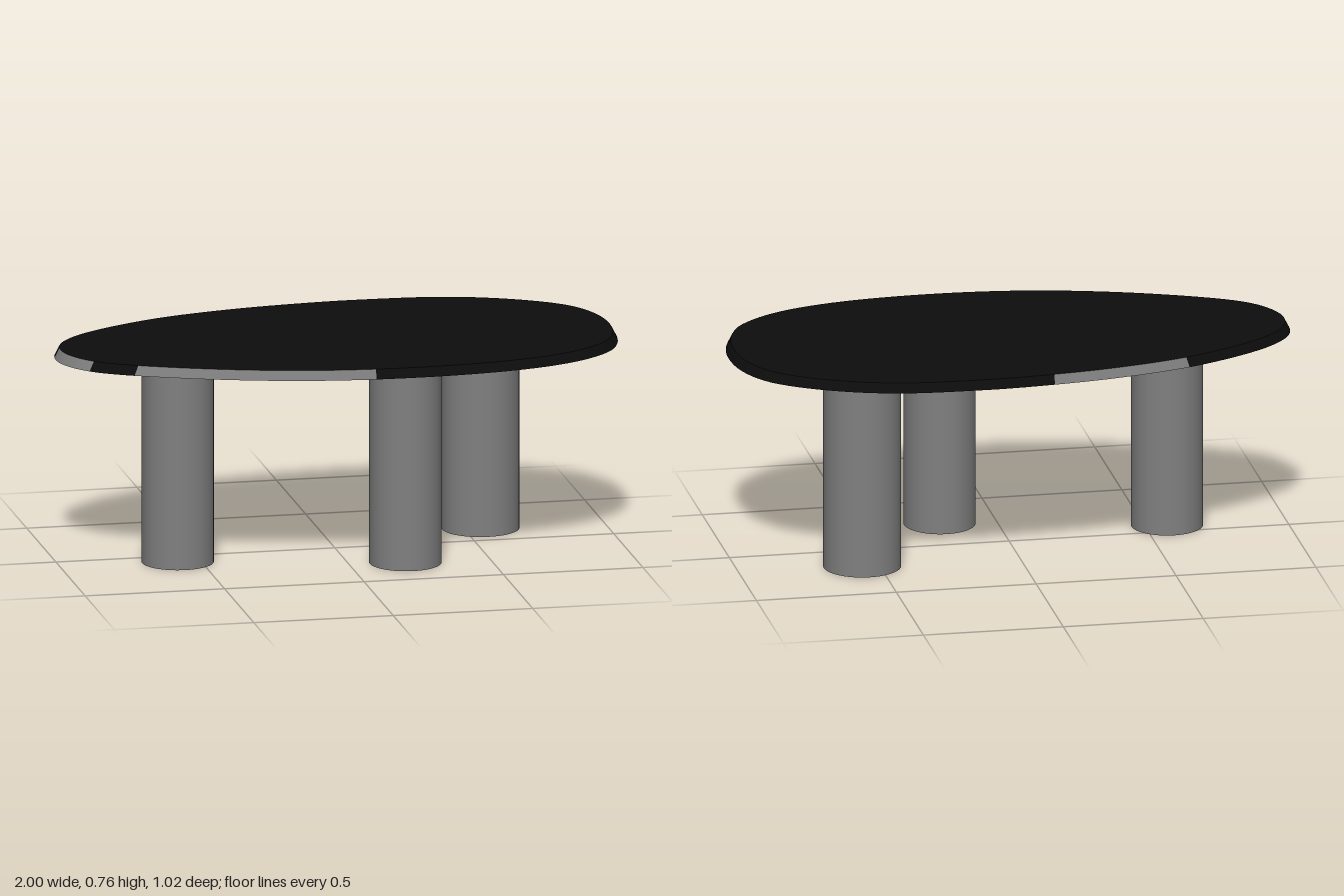
import * as THREE from 'three';

const BOTTOM = 0.73, TOP = 0.765;

// Egg-shaped outline of the top as [x, z], starting at the narrow end
const OUTLINE = [
  [-1, 0], [-0.98, -0.1], [-0.88, -0.22], [-0.6, -0.38], [-0.3, -0.465], [0, -0.505],
  [0.2, -0.513], [0.51, -0.49], [0.75, -0.4], [0.91, -0.28], [0.978, -0.15], [1, 0],
  [0.985, 0.14], [0.93, 0.27], [0.79, 0.39], [0.57, 0.47], [0.2, 0.507], [-0.19, 0.475],
  [-0.6, 0.355], [-0.9, 0.2], [-0.98, 0.09],
];

export function createModel() {
  const black = new THREE.MeshStandardMaterial({ name: 'black', color: 0x0d0d0d });
  const grey = new THREE.MeshStandardMaterial({ name: 'grey', color: 0x808080 });
  const group = new THREE.Group();
  group.name = 'table';

  const add = (parent, name, geometry, material) => {
    const mesh = new THREE.Mesh(geometry, material);
    mesh.name = name;
    parent.add(mesh);
    return mesh;
  };

  const N = 144;
  const curve = new THREE.CatmullRomCurve3(
    OUTLINE.map(([x, z]) => new THREE.Vector3(x, 0, z)), true);
  const lower = curve.getSpacedPoints(N).slice(0, N);
  const upper = lower.map((p) => new THREE.Vector3(p.x * 0.982, 0, p.z * 0.98));

  // Flat faces of the table top
  const top = new THREE.Group();
  top.name = 'tableTop';
  group.add(top);
  const face = (points, sign) => new THREE.ShapeGeometry(
    new THREE.Shape(points.map((p) => new THREE.Vector2(p.x, -sign * p.z))))
    .rotateX(-sign * Math.PI / 2);
  add(top, 'topFace', face(upper, 1), black).position.y = TOP;
  add(top, 'underside', face(lower, -1), black).position.y = BOTTOM;

  // Bevelled rim, with grey stretches along the narrow half
  const isGrey = ({ x, z }) => (z < 0
    ? x > -0.6 && x < -0.1
    : x < -0.9 || (x > -0.76 && x < 0.05));
  const positions = [], index = [];
  const rim = new THREE.BufferGeometry();
  for (let i = 0; i < N; i++) {
    positions.push(lower[i].x, BOTTOM, lower[i].z, upper[i].x, TOP, upper[i].z);
    const a = 2 * i, b = 2 * ((i + 1) % N);
    index.push(a, a + 1, b + 1, a, b + 1, b);
    rim.addGroup(i * 6, 6, isGrey(lower[i]) ? 1 : 0);
  }
  rim.setAttribute('position', new THREE.Float32BufferAttribute(positions, 3));
  rim.setIndex(index);
  rim.computeVertexNormals();
  add(top, 'rim', rim, [black, grey]);

  // Three round legs with dark feet: name, x, z, radius in x, radius in z
  for (const [name, x, z, rx, rz] of [
    ['narrowEndLeg', -0.58, 0.08, 0.127, 0.127],
    ['frontLeg', 0.2, 0.252, 0.127, 0.133],
    ['backLeg', 0.56, -0.18, 0.137, 0.135],
  ]) {
    const leg = add(group, name,
      new THREE.CylinderGeometry(1, 1, BOTTOM, 48), [grey, black, black]);
    leg.scale.set(rx, 1, rz);
    leg.position.set(x, BOTTOM / 2, z);
  }
  return group;
}
